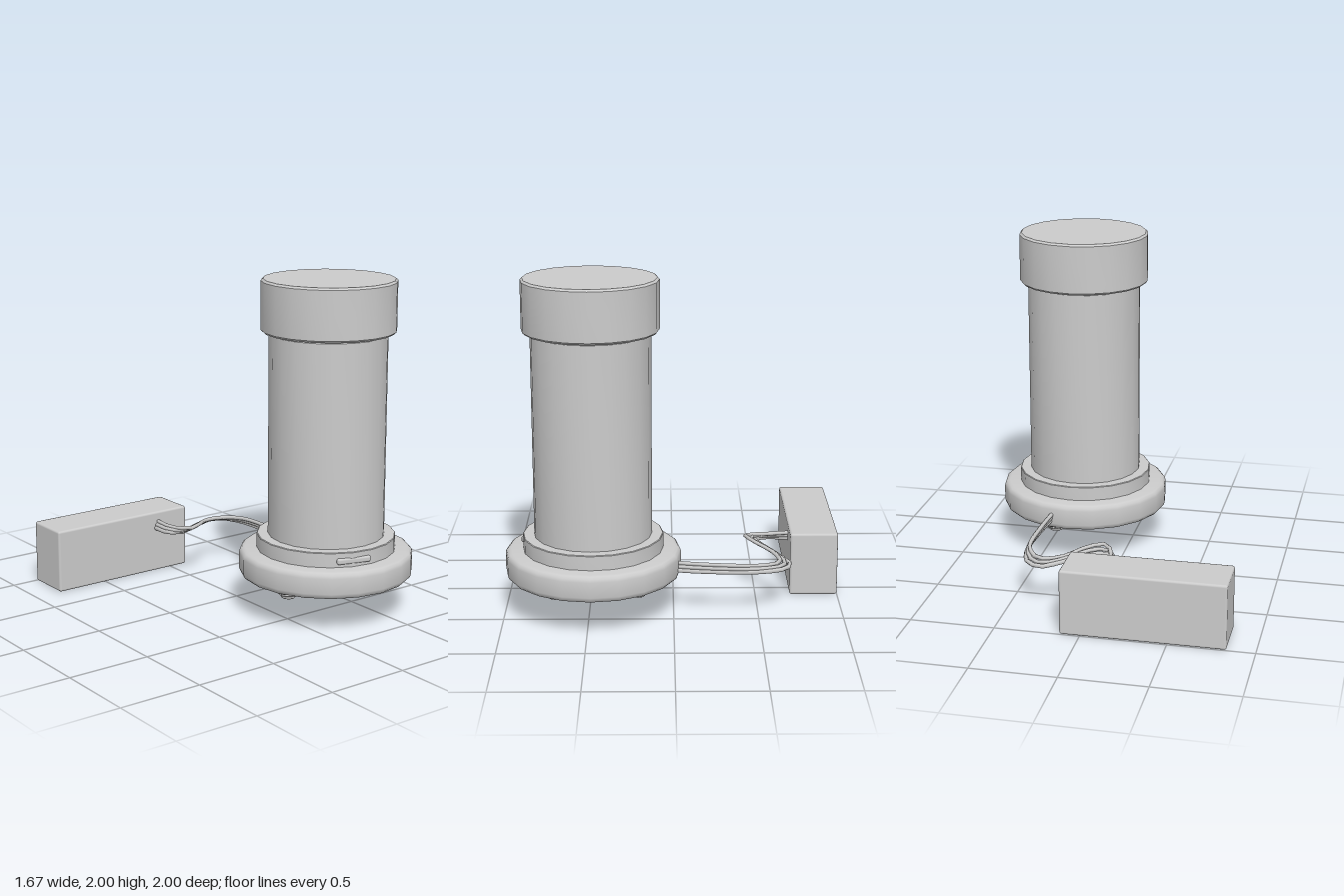
import * as THREE from 'three';
import { toCreasedNormals } from 'three/addons/utils/BufferGeometryUtils.js';
import { RoundedBoxGeometry } from 'three/addons/geometries/RoundedBoxGeometry.js';

const material = new THREE.MeshStandardMaterial({ color: 0xcccccc });
const CX = 0.31, CZ = 0.475; // axis of the lamp

function add(parent, name, geometry, x = 0, y = 0, z = 0) {
  const mesh = new THREE.Mesh(geometry, material);
  mesh.name = name;
  mesh.position.set(x, y, z);
  parent.add(mesh);
  return mesh;
}

// Closed disc or drum with bevelled rims, between heights y0 and y1
function drum(r, y0, y1, bevel, sides = 20, steps = 1) {
  const pts = [new THREE.Vector2(0, y0)];
  for (const top of [0, 1]) {
    for (let i = 0; i <= steps; i++) {
      const a = ((top ? i : i - steps) / steps) * Math.PI / 2;
      const y = top ? y1 - bevel : y0 + bevel;
      pts.push(new THREE.Vector2(r - bevel + bevel * Math.cos(a), y + bevel * Math.sin(a)));
    }
  }
  pts.push(new THREE.Vector2(0, y1));
  return toCreasedNormals(new THREE.LatheGeometry(pts, sides), Math.PI / 5);
}

export function createModel() {
  const model = new THREE.Group();
  model.name = 'cylinderWithBatteryBox';

  // Main stack
  add(model, 'base', drum(0.52, 0.225, 0.387, 0.035, 20, 3), CX, 0, CZ);
  add(model, 'collar', drum(0.415, 0.38, 0.475, 0.004), CX, 0, CZ);
  add(model, 'body', drum(0.348, 0.47, 1.682, 0.003), CX, 0, CZ);
  add(model, 'cap', drum(0.397, 1.69, 2, 0.012), CX, 0, CZ);

  // Switch slot on the front of the collar
  const angle = -0.29;
  const slot = add(model, 'switchSlot', new RoundedBoxGeometry(0.21, 0.036, 0.03, 2, 0.012),
    CX + 0.403 * Math.sin(angle), 0.423, CZ + 0.403 * Math.cos(angle));
  slot.rotation.y = angle;

  // Three stepped feet
  for (const [x, z] of [[0.022, 0.48], [0.467, 0.695], [0.44, 0.21]]) {
    const foot = new THREE.Group();
    foot.name = 'foot';
    foot.position.set(x, 0, z);
    add(foot, 'footCollar', drum(0.085, 0.165, 0.24, 0.006, 16));
    add(foot, 'footStep', drum(0.06, 0.145, 0.17, 0.004, 16));
    add(foot, 'footPin', drum(0.043, 0.125, 0.15, 0.004, 16));
    model.add(foot);
  }

  // Battery box
  add(model, 'batteryBox', new RoundedBoxGeometry(0.955, 0.39, 0.29, 2, 0.014), -0.358, 0.195, -0.855);

  // Wire bundle: centre position, then the spread between strands
  const path = [
    [-0.105, 0.305, -0.74, 0.008, 0.022, 0],
    [-0.1, 0.305, -0.56, 0.015, 0.015, 0.006],
    [-0.04, 0.315, -0.475, 0.01, 0.018, 0.03],
    [0.05, 0.315, -0.51, 0.01, 0.014, 0.024],
    [0.2, 0.29, -0.625, -0.008, 0.012, 0.022],
    [0.3, 0.28, -0.665, 0, 0.012, 0.03],
    [0.37, 0.28, -0.635, -0.015, 0.012, 0.022],
    [0.43, 0.285, -0.5, -0.01, 0.016, 0],
    [0.43, 0.29, -0.2, -0.006, 0.02, 0],
    [0.408, 0.296, 0.02, -0.004, 0.022, 0],
  ];
  for (const k of [-1, 0, 1]) {
    const curve = new THREE.CatmullRomCurve3(path.map(([x, y, z, dx, dy, dz]) =>
      new THREE.Vector3(x + k * dx, y + k * dy, z + k * dz)), false, 'centripetal');
    add(model, 'wire', new THREE.TubeGeometry(curve, 22, 0.013, 6));
  }
  return model;
}
